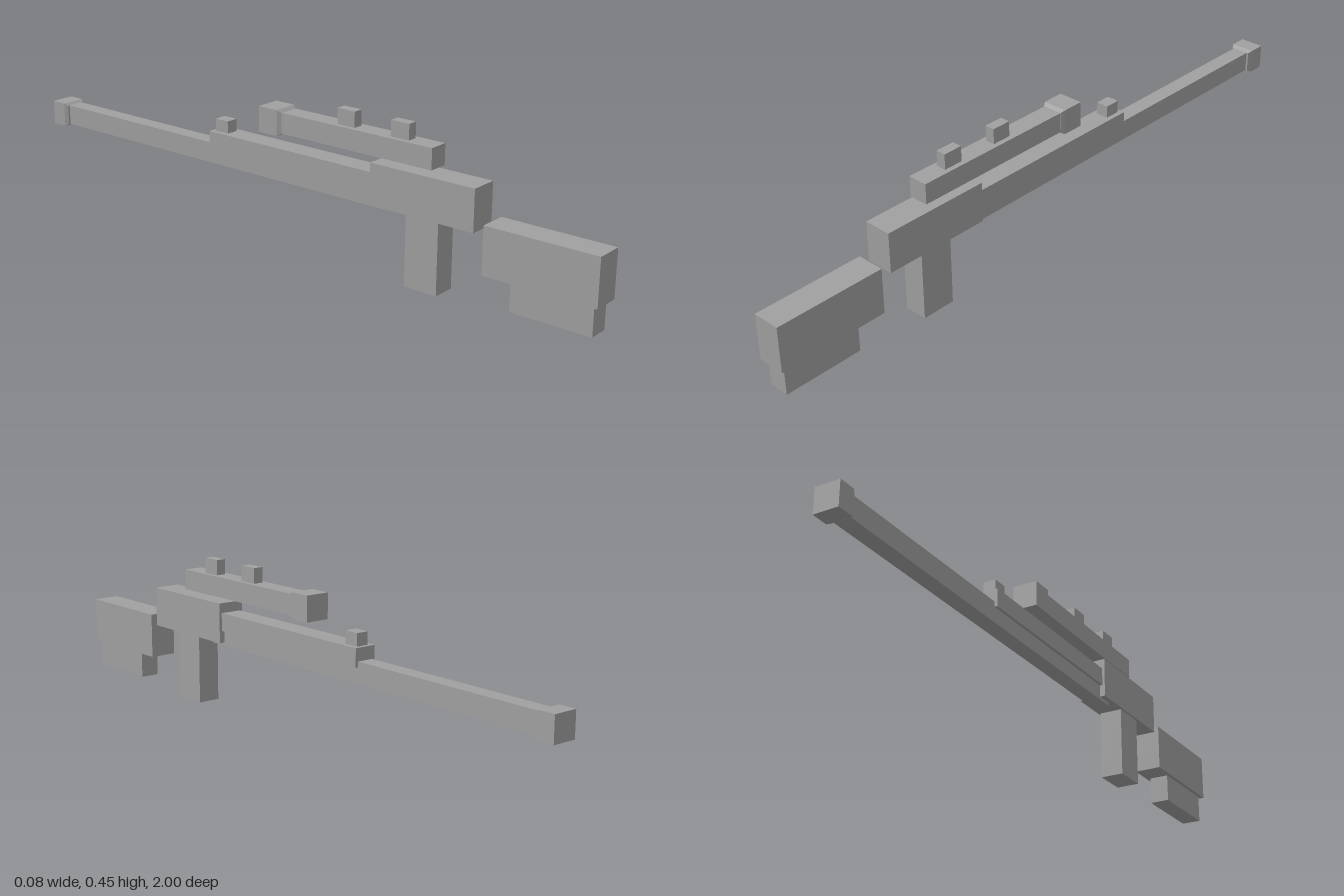
import * as THREE from 'three';

const grey = new THREE.MeshStandardMaterial({ color: 0xa0a0a0 });
grey.name = 'plain grey';

export function createModel() {
  const model = new THREE.Group();
  model.name = 'rifle';

  const add = (name, geometry, y, z) => {
    const mesh = new THREE.Mesh(geometry, grey);
    mesh.name = name;
    mesh.position.set(0, y, z);
    model.add(mesh);
  };

  // Box given by half width, y range and z range
  const block = (name, halfX, y0, y1, z0, z1) =>
    add(name, new THREE.BoxGeometry(halfX * 2, y1 - y0, z1 - z0), (y0 + y1) / 2, (z0 + z1) / 2);

  // Square end cap whose +z end has a short taper onto the tube
  const cap = (name, half, inner, y, z0, z1) => {
    const depth = z1 - z0;
    let geometry = new THREE.BoxGeometry(half * 2, half * 2, depth, 1, 1, 2);
    const p = geometry.attributes.position;
    for (let i = 0; i < p.count; i++) {
      if (Math.abs(p.getZ(i)) < 1e-6) p.setZ(i, depth / 2 - 0.012);
      else if (p.getZ(i) > 0) {
        p.setX(i, p.getX(i) * inner / half);
        p.setY(i, p.getY(i) * inner / half);
      }
    }
    geometry = geometry.toNonIndexed();
    geometry.computeVertexNormals();
    add(name, geometry, y, (z0 + z1) / 2);
  };

  // Stock
  block('stock', 0.042, 0.1, 0.238, 0.664, 1);
  block('stockLower', 0.03, 0.017, 0.1, 0.744, 0.985);

  // Body and grip
  block('receiver', 0.042, 0.209, 0.33, 0.298, 0.634);
  block('grip', 0.035, 0, 0.209, 0.415, 0.52);

  // Barrel assembly
  block('handguard', 0.034, 0.246, 0.3, -0.304, 0.298);
  block('barrel', 0.025, 0.2, 0.262, -0.95, 0.353);
  cap('muzzle', 0.0375, 0.031, 0.231, -1, -0.937);
  block('frontSight', 0.019, 0.3, 0.337, -0.292, -0.244);

  // Scope floating above the body
  block('scope', 0.03, 0.345, 0.406, -0.09, 0.49);
  cap('scopeEnd', 0.038, 0.031, 0.3755, -0.104, -0.026);
  for (const z of [0.345, 0.163]) block('scopeKnob', 0.015, 0.406, 0.452, z, z + 0.06);

  return model;
}
